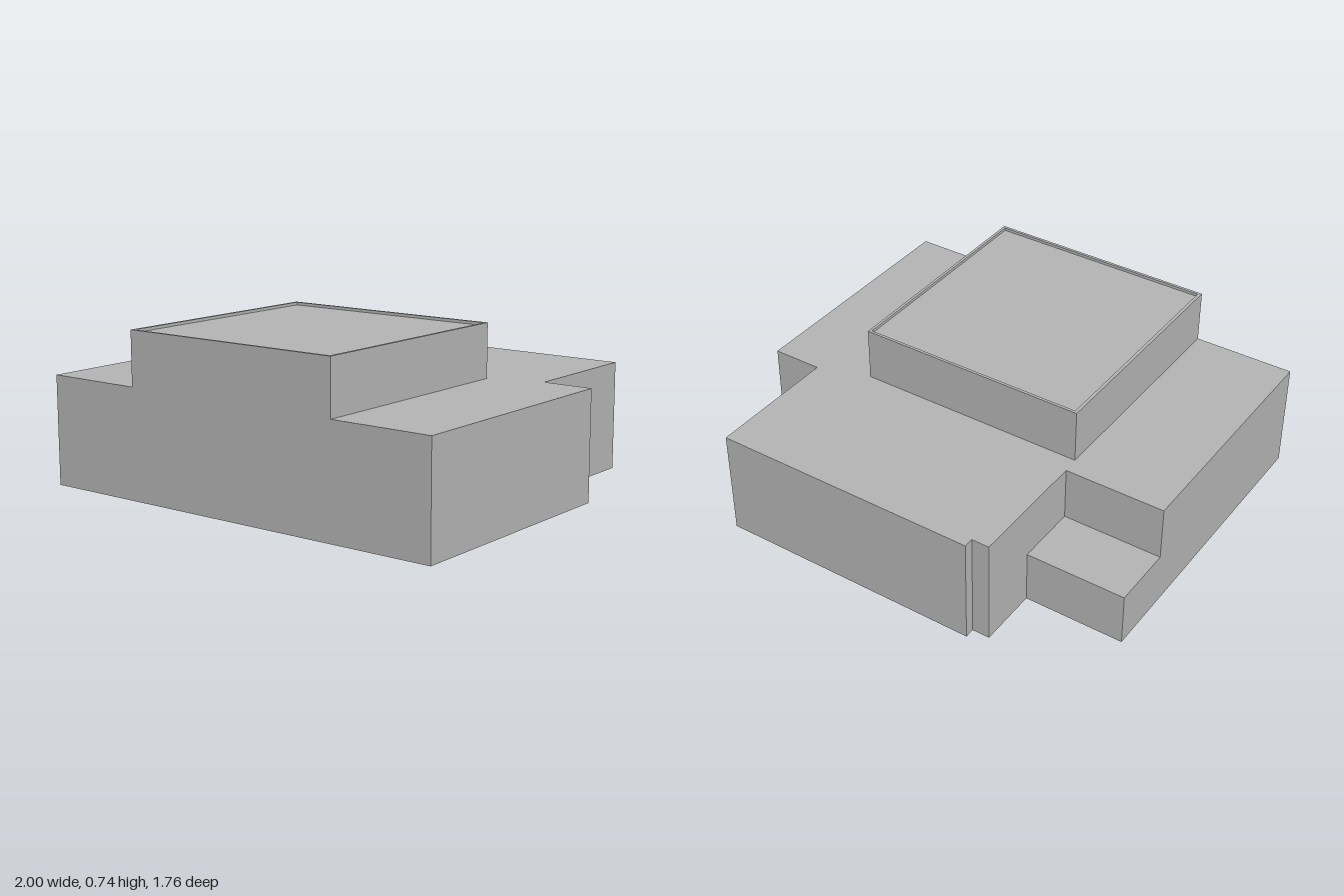
import * as THREE from 'three';

export function createModel() {
  const model = new THREE.Group();
  const concrete = new THREE.MeshStandardMaterial({ color: 0xb2b2b2 });
  concrete.name = 'plain grey';

  // Raise a floor plan of [x, z] corners from y = base to y = top.
  function addBlock(name, plan, base, top, hole) {
    const toPoints = (list) => list.map(([x, z]) => new THREE.Vector2(x, -z));
    const shape = new THREE.Shape(toPoints(plan));
    if (hole) shape.holes.push(new THREE.Path(toPoints(hole)));
    const geometry = new THREE.ExtrudeGeometry(shape, { depth: top - base, bevelEnabled: false });
    geometry.rotateX(-Math.PI / 2).translate(0, base, 0);
    const mesh = new THREE.Mesh(geometry, concrete);
    mesh.name = name;
    model.add(mesh);
  }

  const rect = (x0, x1, z0, z1) => [[x0, z1], [x1, z1], [x1, z0], [x0, z0]];

  // Ground storey, with stepped rear corners and a small corner notch
  addBlock('groundStorey', [
    [-1, 0.88], [1, 0.88], [1, -0.27], [0.77, -0.27], [0.77, -0.885],
    [-0.46, -0.885], [-0.46, -0.84], [-0.54, -0.84], [-0.54, -0.27], [-1, -0.27],
  ], 0, 0.493);

  // Low annex in the rear right corner
  addBlock('lowAnnex', rect(-1, -0.54, -0.56, -0.27), 0, 0.245);

  // Upper storey with a thin raised rim around its roof
  const upper = rect(-0.535, 0.53, -0.193, 0.88);
  addBlock('upperStorey', upper, 0.493, 0.723);
  addBlock('roofRim', upper, 0.723, 0.736, rect(-0.52, 0.517, -0.18, 0.867));

  return model;
}
